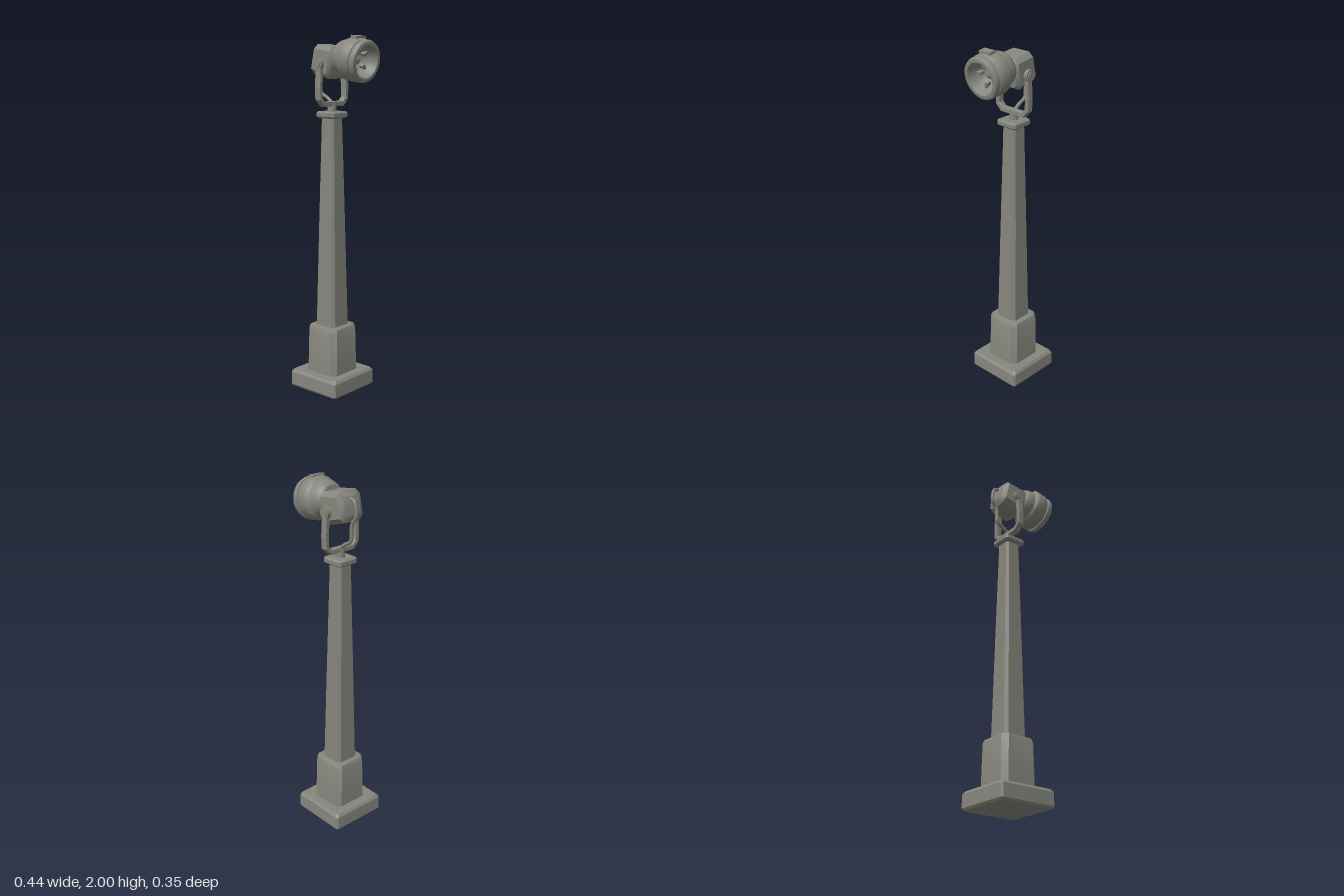
import * as THREE from 'three';
import { toCreasedNormals } from 'three/addons/utils/BufferGeometryUtils.js';

const grey = new THREE.MeshStandardMaterial({ color: 0x86867e });
grey.name = 'weathered grey';

function add(parent, name, geometry, x = 0, y = 0, z = 0) {
  const mesh = new THREE.Mesh(geometry, grey);
  mesh.name = name;
  mesh.position.set(x, y, z);
  parent.add(mesh);
  return mesh;
}

// Solid through square sections with cut corners, each [height, half width, corner cut]
function loft(sections) {
  const rings = sections.map(([y, h, c]) => {
    const k = h - c;
    return [[h, -k], [h, k], [k, h], [-k, h], [-h, k], [-h, -k], [-k, -h], [k, -h]]
      .map(([x, z]) => [x, y, z]);
  });
  const pos = [];
  const tri = (...pts) => pts.forEach((p) => pos.push(...p));
  const last = rings.length - 1;
  for (let i = 0; i < 8; i++) {
    const j = (i + 1) % 8;
    for (let r = 0; r < last; r++) {
      const [a, b, c, d] = [rings[r][i], rings[r][j], rings[r + 1][j], rings[r + 1][i]];
      tri(a, d, c);
      tri(a, c, b);
    }
    tri([0, sections[0][0], 0], rings[0][i], rings[0][j]);
    tri([0, sections[last][0], 0], rings[last][j], rings[last][i]);
  }
  const g = new THREE.BufferGeometry();
  g.setAttribute('position', new THREE.Float32BufferAttribute(pos, 3));
  return toCreasedNormals(g, 0.6);
}

export function createModel() {
  const model = new THREE.Group();
  model.name = 'spotlightPost';
  const cx = -0.05;

  // Post
  add(model, 'base', loft([[0, 0.165, 0.008], [0.012, 0.173, 0.01], [0.085, 0.171, 0.01], [0.1, 0.16, 0.012]]), cx);
  add(model, 'pedestal', loft([[0.09, 0.112, 0.028], [0.35, 0.107, 0.028], [0.368, 0.1, 0.026], [0.372, 0.09, 0.024]]), cx);
  add(model, 'shaft', loft([[0.36, 0.072, 0.018], [1.0, 0.058, 0.015], [1.56, 0.045, 0.012]]), cx);
  add(model, 'cap', loft([[1.552, 0.055, 0.01], [1.562, 0.067, 0.012], [1.582, 0.067, 0.012], [1.59, 0.058, 0.01]]), cx);
  add(model, 'stem', new THREE.CylinderGeometry(0.024, 0.026, 0.05, 12), cx, 1.61);

  // Yoke: a U-shaped bracket in the z-y plane
  const half = [[0.078, 1.62], [0.113, 1.655], [0.116, 1.72], [0.108, 1.85], [0.09, 1.85], [0.096, 1.72], [0.095, 1.665], [0.072, 1.642]];
  const outline = [...half, ...half.map(([z, y]) => [-z, y]).reverse()];
  const yoke = new THREE.ExtrudeGeometry(
    new THREE.Shape(outline.map(([z, y]) => new THREE.Vector2(z, y))),
    { depth: 0.028, bevelEnabled: true, bevelSize: 0.003, bevelThickness: 0.005, bevelSegments: 1 });
  yoke.translate(0, 0, -0.014).rotateY(Math.PI / 2);
  add(model, 'yoke', yoke, cx);
  for (const s of [-1, 1]) {
    const side = s > 0 ? 'left' : 'right';
    add(model, side + 'Knob', new THREE.CylinderGeometry(0.032, 0.032, 0.022, 16), cx - 0.004, 1.845, s * 0.104).rotation.x = Math.PI / 2;
    add(model, side + 'Bolt', new THREE.CylinderGeometry(0.022, 0.022, 0.05, 12), cx - 0.004, 1.845, s * 0.095).rotation.x = Math.PI / 2;
  }

  // Cable from the back of the housing down to the yoke
  const path = [[-0.125, 1.915], [-0.157, 1.905], [-0.17, 1.87], [-0.17, 1.825], [-0.143, 1.785],
    [-0.137, 1.73], [-0.132, 1.69], [-0.09, 1.665], [-0.05, 1.635]];
  const curve = new THREE.CatmullRomCurve3(path.map(([x, y]) => new THREE.Vector3(x, y, -0.003)));
  add(model, 'cable', new THREE.TubeGeometry(curve, 40, 0.01, 8));

  // Rear housing
  const housing = loft([[-0.078, 0.052, 0.02], [-0.058, 0.08, 0.026], [0.058, 0.086, 0.024], [0.078, 0.07, 0.024]]);
  add(model, 'housing', housing.rotateZ(-Math.PI / 2), -0.063, 1.863).rotation.z = -0.21;

  // Lamp head, aimed along its own x
  const head = new THREE.Group();
  head.name = 'lampHead';
  head.position.set(0.105, 1.873, 0);
  head.rotation.z = -0.17;
  model.add(head);
  const profile = [[0, -0.097], [0.07, -0.097], [0.085, -0.082], [0.095, -0.062], [0.1, -0.03], [0.112, -0.02],
    [0.117, -0.01], [0.117, 0.046], [0.111, 0.055], [0.104, 0.057], [0.104, 0.062], [0.113, 0.064],
    [0.115, 0.08], [0.11, 0.094], [0.102, 0.098], [0.088, 0.096], [0.083, 0.08], [0.078, 0.05],
    [0.062, 0.015], [0.035, -0.008], [0, -0.012]];
  const bell = new THREE.LatheGeometry(profile.map(([r, y]) => new THREE.Vector2(r, y)), 32);
  add(head, 'bell', toCreasedNormals(bell.rotateZ(-Math.PI / 2), 0.7));
  add(head, 'topPlate', new THREE.BoxGeometry(0.042, 0.022, 0.076), 0.018, 0.115, 0.004);

  // Bulb and its clips inside the reflector
  add(head, 'bulb', new THREE.SphereGeometry(0.028, 16, 12), 0.012);
  for (let i = 0; i < 5; i++) {
    const a = (i / 5) * Math.PI * 2 + 0.3;
    const clip = add(head, 'clip', new THREE.BoxGeometry(0.03, 0.03, 0.016), 0.03, Math.cos(a) * 0.06, Math.sin(a) * 0.06);
    clip.rotation.x = a;
  }
  return model;
}
